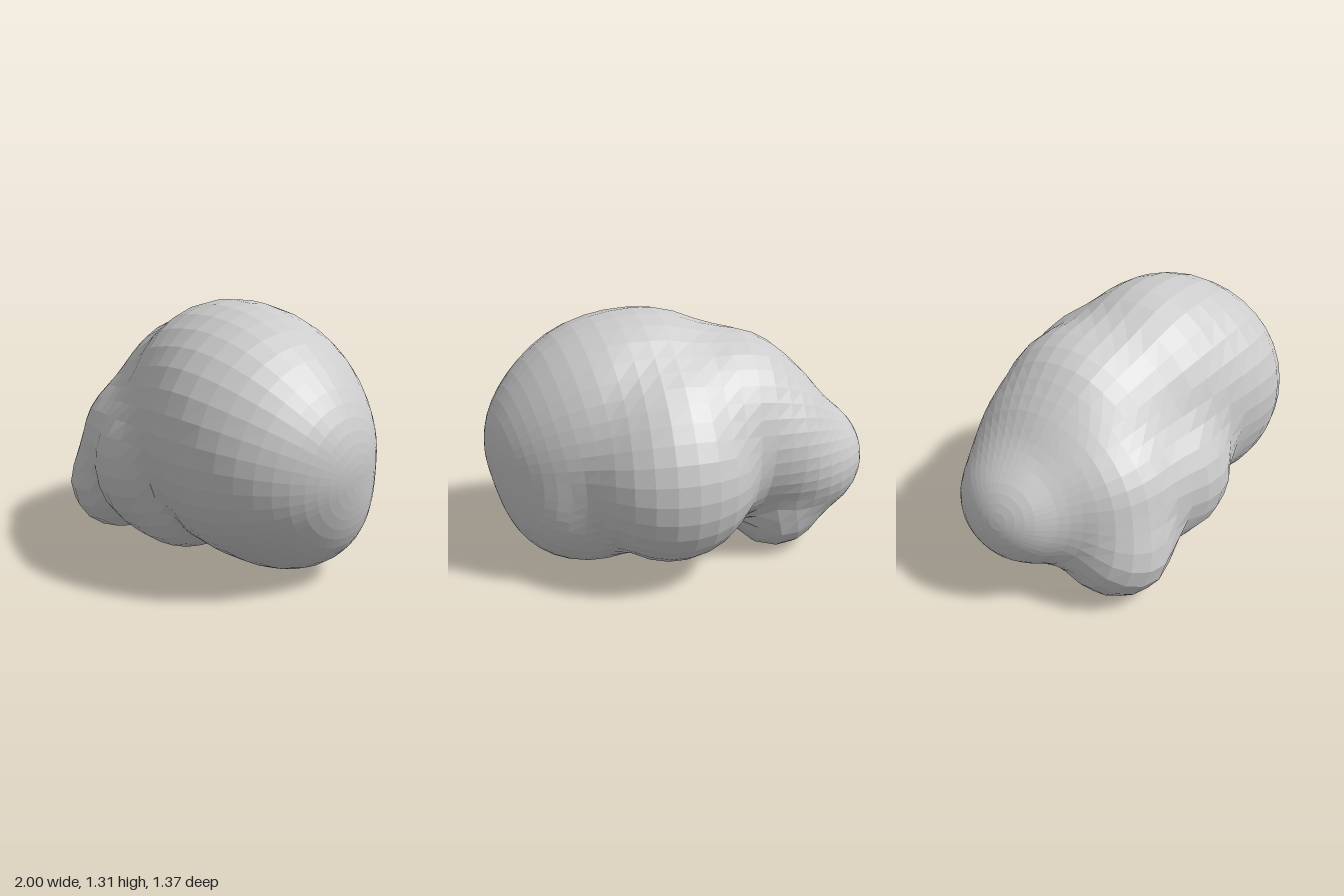
import * as THREE from 'three';

// Overlapping lobes: centre and radii of each ellipsoid
const LOBES = [
  [0.45, 0.63, 0.12, 0.55, 0.53, 0.535],   // big side lobe
  [0.4, 0.78, 0.12, 0.45, 0.47, 0.53],     // top of the big side lobe
  [0.19, 0.74, 0.09, 0.59, 0.57, 0.5],     // crown
  [0.48, 0.39, 0, 0.44, 0.37, 0.38],       // underside of the big lobe
  [-0.1, 0.48, 0.25, 0.38, 0.42, 0.43],    // front middle lobe
  [0.05, 0.3, 0.28, 0.25, 0.25, 0.25],     // lower edge of the front middle lobe
  [-0.4, 0.5, 0.18, 0.4, 0.4, 0.4],        // front flank
  [-0.52, 0.28, 0.32, 0.27, 0.28, 0.3],    // small front lobe
  [-0.62, 0.48, -0.06, 0.38, 0.34, 0.37],  // narrow end
  [-0.48, 0.62, -0.06, 0.33, 0.37, 0.41],  // slope above the narrow end
  [-0.22, 0.69, -0.02, 0.48, 0.51, 0.47],  // shoulder
  [-0.5, 0.22, -0.12, 0.25, 0.22, 0.25],   // small lower lobe
  [0.13, 0.55, -0.3, 0.43, 0.44, 0.39],    // back bulge
  [0.1, 0.75, -0.2, 0.38, 0.36, 0.34],     // top of the back bulge
];
const BLEND = 0.09;

// Approximate signed distance to the softly joined lobes
function field(p) {
  return LOBES.reduce((d, [x, y, z, a, b, c]) => {
    const q = Math.hypot((p.x - x) / a, (p.y - y) / b, (p.z - z) / c);
    const e = (q - 1) * Math.min(a, b, c);
    const h = Math.max(BLEND - Math.abs(d - e), 0) / BLEND;
    return Math.min(d, e) - h * h * BLEND / 4;
  }, 10);
}

// Outermost surface point from an origin along a direction
function surfacePoint(origin, dir) {
  const p = new THREE.Vector3();
  const at = (r) => field(p.copy(dir).multiplyScalar(r).add(origin));
  let r = 1.3;
  while (r > 0.1 && at(r) > 0) r -= 0.01;
  let lo = r, hi = r + 0.01;
  for (let i = 0; i < 8; i++) {
    const mid = (lo + hi) / 2;
    if (at(mid) > 0) hi = mid; else lo = mid;
  }
  return p.copy(dir).multiplyScalar(lo).add(origin);
}

export function createModel() {
  const group = new THREE.Group();
  group.name = 'lobedBody';

  // Sphere with its poles at the two ends, cast outward from a central spine
  const geo = new THREE.SphereGeometry(1, 44, 36).rotateZ(Math.PI / 2);
  const pos = geo.attributes.position;
  const dir = new THREE.Vector3();
  const origin = new THREE.Vector3();
  for (let i = 0; i < pos.count; i++) {
    dir.fromBufferAttribute(pos, i).normalize();
    origin.set(0.5 * dir.x, 0.55, 0);
    const p = surfacePoint(origin, dir);
    pos.setXYZ(i, p.x, p.y, p.z);
  }
  geo.computeVertexNormals();

  const body = new THREE.Mesh(geo, new THREE.MeshStandardMaterial({ color: 0xcccccc, flatShading: true }));
  body.name = 'body';
  group.add(body);
  return group;
}
